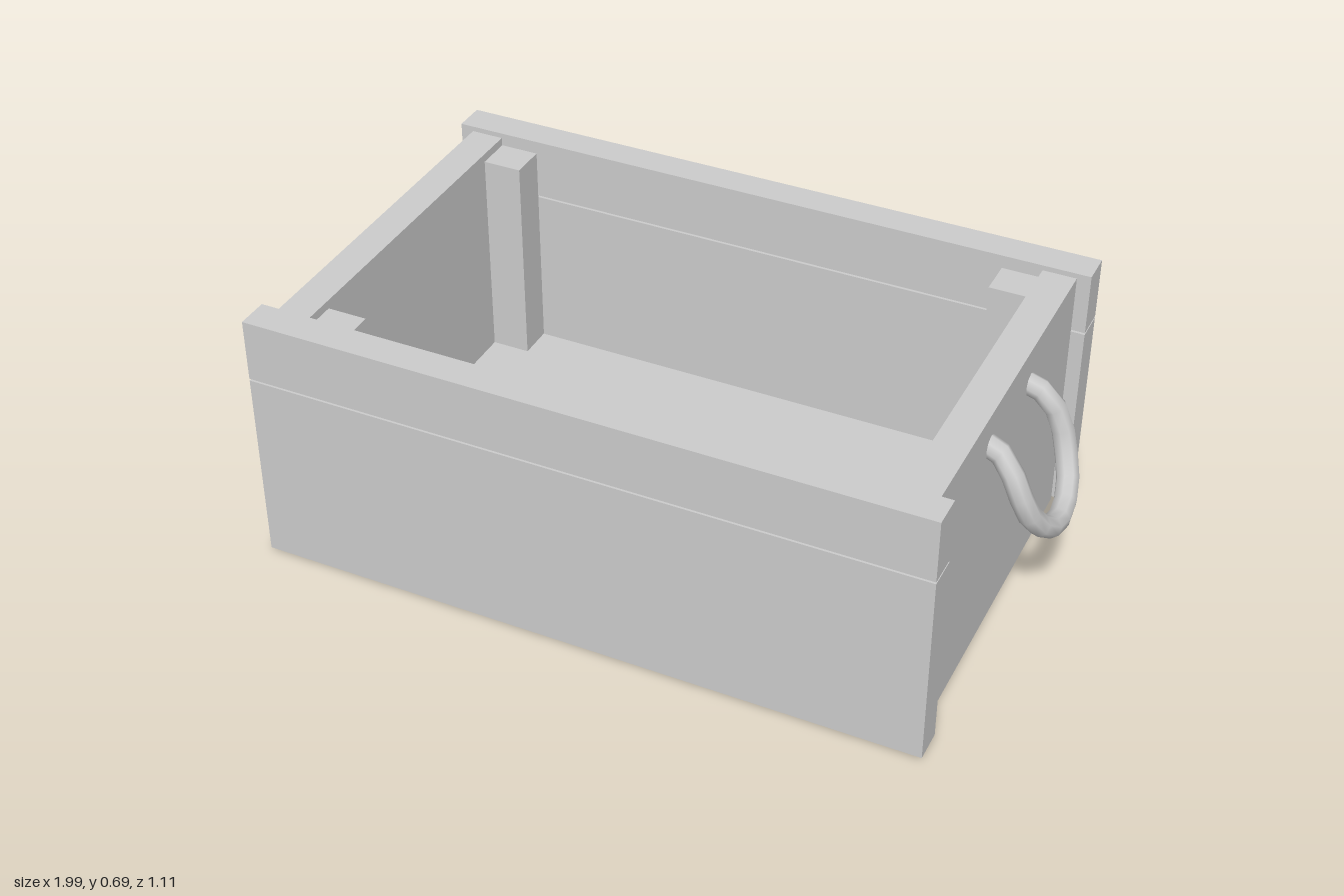
import * as THREE from 'three';

export function createModel() {
  const model = new THREE.Group();
  const material = new THREE.MeshStandardMaterial({ color: 0xcccccc });

  // Box given by its minimum and maximum corners
  const box = (name, [x0, y0, z0], [x1, y1, z1]) => {
    const mesh = new THREE.Mesh(new THREE.BoxGeometry(x1 - x0, y1 - y0, z1 - z0), material);
    mesh.position.set((x0 + x1) / 2, (y0 + y1) / 2, (z0 + z1) / 2);
    mesh.name = name;
    model.add(mesh);
  };
  // Same, mirrored to side s of x and side t of z
  const mirroredBox = (name, s, t, [x0, y0, z0], [x1, y1, z1]) =>
    box(name,
      [Math.min(s * x0, s * x1), y0, Math.min(t * z0, t * z1)],
      [Math.max(s * x0, s * x1), y1, Math.max(t * z0, t * z1)]);

  box('floor', [-0.742, 0.008, -0.472], [0.742, 0.08, 0.472]);

  // Long sides, two planks each with a narrow gap
  for (const [t, side] of [[1, 'front'], [-1, 'back']]) {
    mirroredBox(side + 'LowerPlank', 1, t, [-0.863, 0.007, 0.473], [0.863, 0.518, 0.556]);
    mirroredBox(side + 'UpperPlank', 1, t, [-0.863, 0.523, 0.473], [0.863, 0.685, 0.556]);
  }

  // Rope handle path: x outward, y up, z forward
  const ropePath = [
    [0.80, 0.59, 0.125], [0.865, 0.56, 0.13], [0.91, 0.485, 0.145], [0.94, 0.405, 0.122],
    [0.965, 0.345, 0.06], [0.97, 0.327, -0.01], [0.96, 0.35, -0.09],
    [0.935, 0.41, -0.14], [0.905, 0.495, -0.157], [0.865, 0.555, -0.152], [0.80, 0.58, -0.15],
  ];

  for (const [s, side] of [[1, 'left'], [-1, 'right']]) {
    mirroredBox(side + 'EndWall', s, 1, [0.742, 0, -0.472], [0.828, 0.672, 0.472]);
    // Inner corner posts
    for (const [t, end] of [[1, 'Front'], [-1, 'Back']]) {
      mirroredBox(side + end + 'Post', s, t, [0.64, 0.08, 0.378], [0.742, 0.65, 0.473]);
    }
    const curve = new THREE.CatmullRomCurve3(
      ropePath.map(([x, y, z]) => new THREE.Vector3(s * x, y, z)));
    const handle = new THREE.Mesh(new THREE.TubeGeometry(curve, 14, 0.028, 8), material);
    handle.name = side + 'RopeHandle';
    model.add(handle);
  }
  return model;
}
